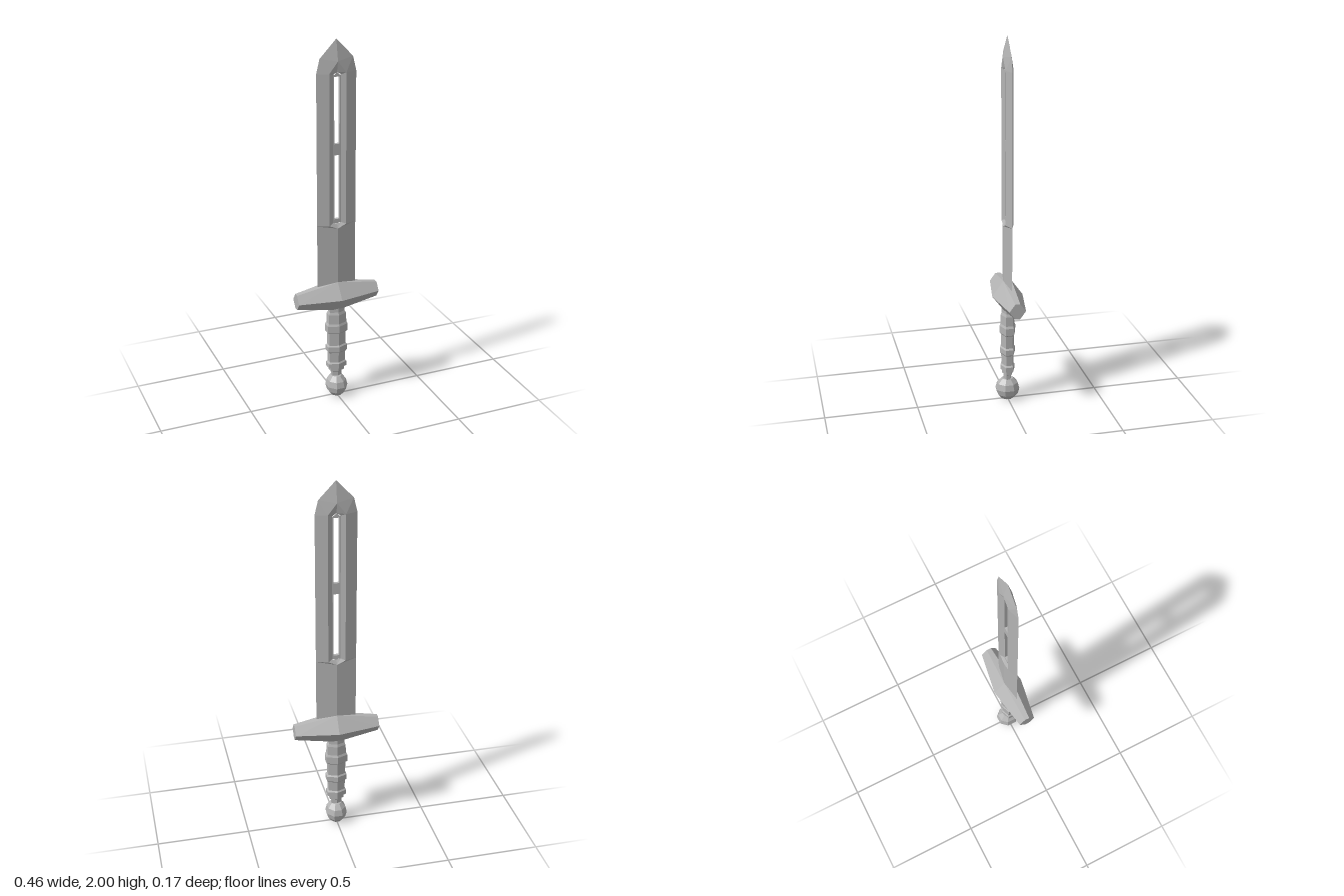
import * as THREE from 'three';

const steel = new THREE.MeshStandardMaterial({ color: 0xb4b4b4 });
steel.name = 'grey steel';

// Faceted mesh from a flat list of triangle corners
function facetMesh(name, corners) {
  const g = new THREE.BufferGeometry();
  g.setAttribute('position', new THREE.Float32BufferAttribute(corners, 3));
  g.computeVertexNormals();
  const mesh = new THREE.Mesh(g, steel);
  mesh.name = name;
  return mesh;
}

// Polygons of one quarter (+x, +z), mirrored to all four quarters
function quarterMesh(name, polys) {
  const out = [];
  for (const sx of [1, -1]) for (const sz of [1, -1]) {
    for (const p of polys) {
      for (let i = 1; i < p.length - 1; i++) {
        const tri = sx * sz > 0 ? [p[0], p[i], p[i + 1]] : [p[0], p[i + 1], p[i]];
        for (const [x, y, z] of tri) out.push(x * sx, y, z * sz);
      }
    }
  }
  return facetMesh(name, out);
}

function makeBlade() {
  const E = 0.108, T = 0.022;          // edge half width, half thickness
  const R = 0.046, Z = 0.021;          // rim of the recess
  const F = 0.022, D = 0.009;          // recess floor
  const S = 0.015;                     // slot half width
  const slots = [[1.05, 1.4], [1.46, 1.81]];
  const polys = [
    // lower diamond section and step to the bevelled section
    [[0, 0.66, T], [E, 0.66, 0], [E, 1.0, 0], [0, 1.0, T]],
    [[0, 1.0, T], [E, 1.0, 0], [E, 1.02, 0], [R, 1.02, Z]],
    // bevel and point
    [[R, 1.02, Z], [E, 1.02, 0], [E, 1.83, 0], [R, 1.83, Z]],
    [[R, 1.83, Z], [E, 1.83, 0], [0.09, 1.905, 0], [0, 1.89, T]],
    [[0, 1.89, T], [0.09, 1.905, 0], [0, 2, 0]],
    // sloping recess walls
    [[F, 1.03, D], [R, 1.02, Z], [R, 1.83, Z], [F, 1.82, D]],
    [[0, 1.0, T], [R, 1.02, Z], [F, 1.03, D], [0, 1.025, D]],
    [[0, 1.835, D], [F, 1.82, D], [R, 1.83, Z], [0, 1.89, T]],
    // recess floor around the slots
    [[S, 1.03, D], [F, 1.03, D], [F, 1.82, D], [S, 1.82, D]],
    [[0, 1.025, D], [S, 1.03, D], [S, 1.05, D], [0, 1.05, D]],
    [[0, 1.4, D], [S, 1.4, D], [S, 1.46, D], [0, 1.46, D]],
    [[0, 1.81, D], [S, 1.81, D], [S, 1.82, D], [0, 1.835, D]],
  ];
  // inside walls of the slots
  for (const [a, b] of slots) {
    polys.push(
      [[S, a, 0], [S, a, D], [S, b, D], [S, b, 0]],
      [[0, a, 0], [0, a, D], [S, a, D], [S, a, 0]],
      [[0, b, 0], [S, b, 0], [S, b, D], [0, b, D]],
    );
  }
  return quarterMesh('blade', polys);
}

function makeGuard() {
  const M = 0.608, X = 0.23;
  return quarterMesh('crossguard', [
    // top, upper front, lower front, underside, end
    [[0, 0.692, 0], [0, 0.692, 0.023], [X, 0.65, 0.013], [X, 0.65, 0]],
    [[0, 0.692, 0.023], [0, M, 0.083], [X, M, 0.044], [X, 0.65, 0.013]],
    [[0, M, 0.083], [0, 0.528, 0.023], [X, 0.566, 0.013], [X, M, 0.044]],
    [[0, 0.528, 0.023], [0, 0.528, 0], [X, 0.566, 0], [X, 0.566, 0.013]],
    [[X, 0.566, 0], [X, 0.65, 0], [X, 0.65, 0.013], [X, M, 0.044], [X, 0.566, 0.013]],
  ]);
}

// Faceted turned part from [radius, height] pairs, bottom to top
function turned(name, profile, sides, start, sx, sz) {
  const pts = profile.map(([r, y]) => new THREE.Vector2(r, y));
  const g = new THREE.LatheGeometry(pts, sides, start).scale(sx, 1, sz).toNonIndexed();
  g.computeVertexNormals();
  const mesh = new THREE.Mesh(g, steel);
  mesh.name = name;
  return mesh;
}

export function createModel() {
  const sword = new THREE.Group();
  sword.name = 'sword';
  sword.add(makeBlade(), makeGuard());

  // Ribbed grip with three raised bands
  sword.add(turned('grip', [
    [0.028, 0.1], [0.028, 0.148], [0.04, 0.155], [0.04, 0.172],
    [0.053, 0.178], [0.053, 0.204], [0.045, 0.212], [0.047, 0.27],
    [0.056, 0.278], [0.056, 0.308], [0.048, 0.316], [0.049, 0.388],
    [0.059, 0.396], [0.059, 0.436], [0.052, 0.448], [0.05, 0.5], [0.043, 0.515], [0.043, 0.56],
  ], 6, 0, 1 / 0.866 * 0.98, 0.74));

  // Round pommel
  sword.add(turned('pommel', [
    [0, 0], [0.032, 0.004], [0.054, 0.03], [0.062, 0.062], [0.054, 0.095], [0.03, 0.122], [0, 0.122],
  ], 8, Math.PI / 8, 0.97, 1.08));

  return sword;
}
